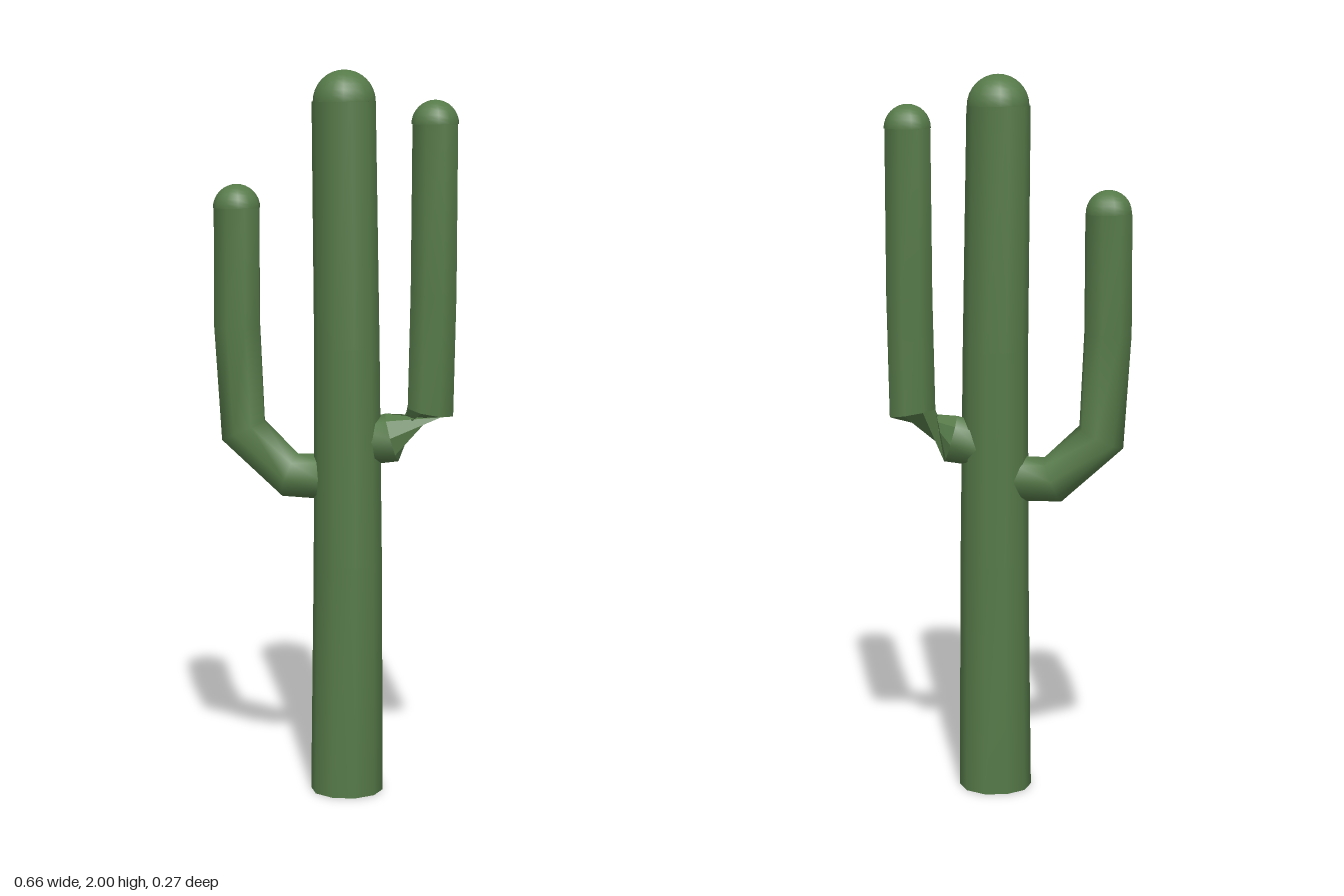
import * as THREE from 'three';

const green = new THREE.MeshStandardMaterial({ color: 0x567a49, side: THREE.DoubleSide });
green.name = 'cactusGreen';

// Open tube through rings of { c: centre, r: radius, t: optional axis, twist: radians }
function loft(rings, sides) {
  const pts = rings.map(q => new THREE.Vector3(...q.c));
  const pos = [], idx = [];
  rings.forEach((q, i) => {
    const t = q.t ? new THREE.Vector3(...q.t)
      : i === 0 ? pts[1].clone().sub(pts[0])
      : i === pts.length - 1 ? pts[i].clone().sub(pts[i - 1])
      : pts[i].clone().sub(pts[i - 1]).normalize().add(pts[i + 1].clone().sub(pts[i]).normalize());
    t.normalize();
    const v = new THREE.Vector3(0, 0, 1).addScaledVector(t, -t.z).normalize();
    const u = t.clone().cross(v);
    for (let j = 0; j < sides; j++) {
      const a = (j / sides) * Math.PI * 2 + (q.twist || 0);
      const p = pts[i].clone().addScaledVector(v, q.r * Math.cos(a)).addScaledVector(u, q.r * Math.sin(a));
      pos.push(p.x, p.y, p.z);
      if (i > 0) {
        const k = (j + 1) % sides, lo = (i - 1) * sides, hi = i * sides;
        idx.push(lo + j, lo + k, hi + k, lo + j, hi + k, hi + j);
      }
    }
  });
  const g = new THREE.BufferGeometry();
  g.setAttribute('position', new THREE.Float32BufferAttribute(pos, 3));
  g.setIndex(idx);
  g.computeVertexNormals();
  return g;
}

export function createModel() {
  const model = new THREE.Group();
  model.name = 'cactus';
  const add = (name, geometry) => {
    const mesh = new THREE.Mesh(geometry, green);
    mesh.name = name;
    model.add(mesh);
    return mesh;
  };
  const cap = (name, r, x, y, z, segments) =>
    add(name, new THREE.SphereGeometry(r, segments, 8, 0, Math.PI * 2, 0, Math.PI / 2)).position.set(x, y, z);

  // Trunk, open at the bottom, with a rounded tip
  const up = [0, 1, 0];
  add('trunk', loft([
    { c: [0.04, 0, 0.012], r: 0.101, t: up },
    { c: [0.042, 0.65, 0.012], r: 0.095, t: up },
    { c: [0.039, 1.25, 0.013], r: 0.09, t: up },
    { c: [0.03, 1.915, 0.015], r: 0.087, t: up },
  ], 10));
  cap('trunkTip', 0.085, 0.03, 1.915, 0.011, 16);

  // Right arm, bending out and up
  add('rightArm', loft([
    { c: [-0.02, 0.888, 0.022], r: 0.064 },
    { c: [-0.12, 0.888, 0.04], r: 0.066 },
    { c: [-0.25, 1.01, 0.067], r: 0.069 },
    { c: [-0.266, 1.3, 0.07], r: 0.067 },
    { c: [-0.266, 1.625, 0.07], r: 0.066, t: up },
  ], 8));
  cap('rightArmTip', 0.065, -0.266, 1.625, 0.07, 12);

  // Left arm: short stub, pinched twisted elbow, upright column
  const stubAxis = [0.94, 0.28, -0.33], columnAxis = [0.18, 0.98, 0];
  const stubEnd = { c: [0.155, 1.0, -0.032], r: 0.068, t: stubAxis };
  const columnStart = { c: [0.253, 1.075, -0.07], r: 0.068, t: columnAxis };
  add('leftArmStub', loft([{ c: [0.07, 0.982, -0.005], r: 0.062, t: stubAxis }, stubEnd], 8));
  const elbow = loft([stubEnd, { ...columnStart, twist: Math.PI * 0.75 }], 8).toNonIndexed();
  elbow.computeVertexNormals();
  add('leftArmElbow', elbow);
  add('leftArm', loft([
    columnStart,
    { c: [0.26, 1.4, -0.07], r: 0.067, t: up },
    { c: [0.262, 1.855, -0.07], r: 0.066, t: up },
  ], 8));
  cap('leftArmTip', 0.065, 0.262, 1.855, -0.07, 12);

  return model;
}
